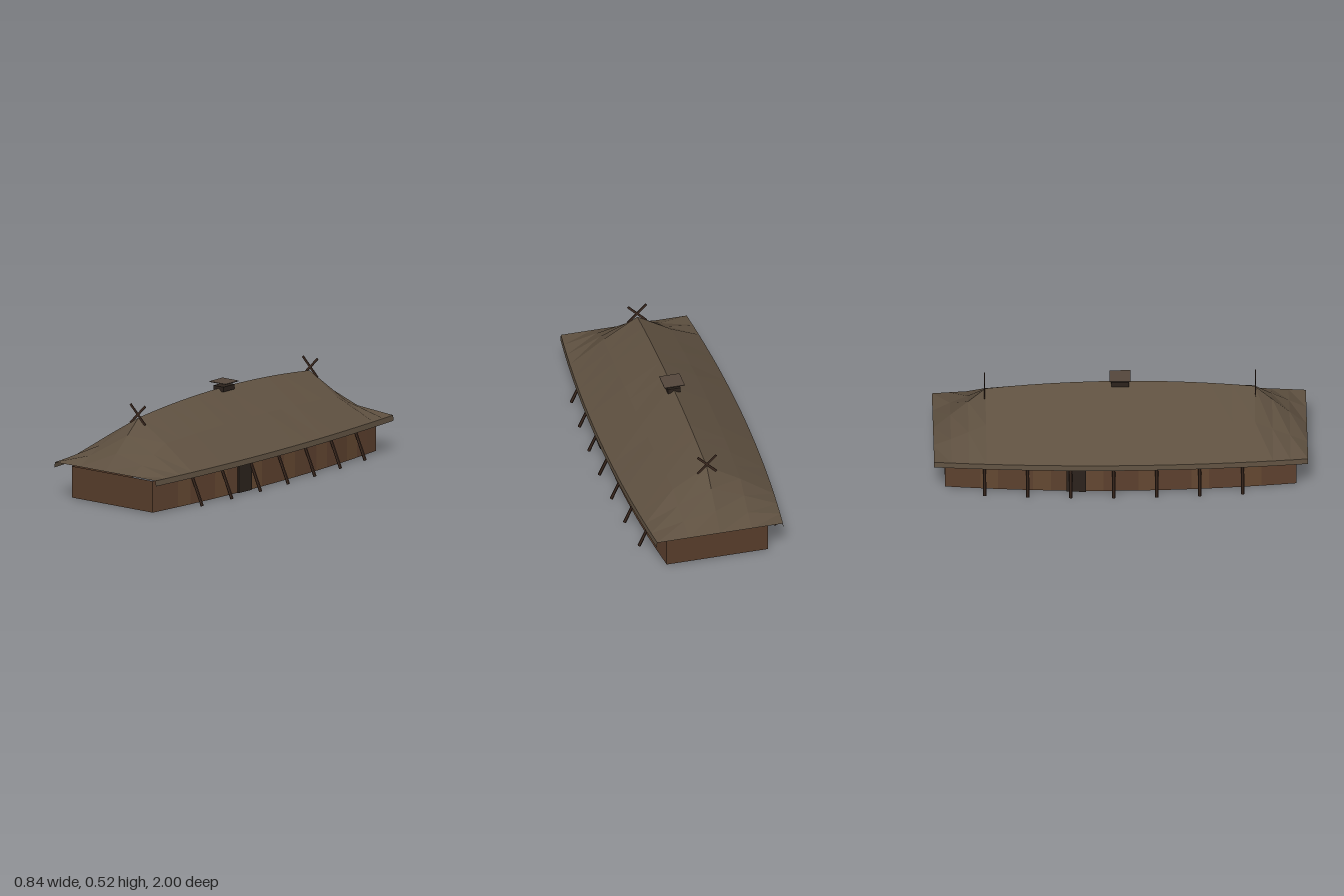
import * as THREE from 'three';

const mat = (color, side = THREE.DoubleSide) =>
  new THREE.MeshStandardMaterial({ color, side, flatShading: true });

// Small seeded noise in -1..1
let seed = 7;
const noise = () => {
  seed = (seed * 16807) % 2147483647;
  return (seed / 2147483647) * 2 - 1;
};

// Bowed plan outlines of the wall and the eaves
const wallX = z => 0.34 - 0.06 * (z / 0.94) ** 2;
const wallTop = z => 0.204 - 0.027 * (z / 0.94) ** 2;
const eaveX = z => 0.4 - 0.052 * z * z;
// Curved ridge that drops along a straight hip at both ends
const ridgeY = z => {
  const a = Math.abs(z);
  return a <= 0.72 ? 0.485 - 0.04 * (a / 0.72) ** 2 : 0.2 + 0.245 * (1 - a) / 0.28;
};

// Surface through rows of equally many [x, y, z] points
function loft(rows) {
  const n = rows[0].length, index = [];
  for (let i = 0; i < rows.length - 1; i++) {
    for (let j = 0; j < n - 1; j++) {
      const a = i * n + j, b = a + n;
      index.push(a, b, a + 1, b, b + 1, a + 1);
    }
  }
  const geo = new THREE.BufferGeometry();
  geo.setAttribute('position', new THREE.Float32BufferAttribute(rows.flat(2), 3));
  geo.setIndex(index);
  const flat = geo.toNonIndexed();
  flat.computeVertexNormals();
  return flat;
}

export function createModel() {
  const model = new THREE.Group();
  seed = 7;
  const add = (name, geo, material, parent = model) => {
    const mesh = new THREE.Mesh(geo, material);
    mesh.name = name;
    parent.add(mesh);
    return mesh;
  };
  const group = name => {
    const g = new THREE.Group();
    g.name = name;
    model.add(g);
    return g;
  };

  const thatch = mat(0x5e5040);
  const darkWood = mat(0x3d2a20);
  const doorWood = mat(0x2b221c);
  const planks = [mat(0x5c402e), mat(0x523826), mat(0x634731)];
  const endWood = mat(0x563c2a);

  // Thatched roof: eave, knee, ridge, knee, eave at each station
  const stations = [-1, -0.907, -0.813];
  for (let i = 0; i <= 12; i++) stations.push(-0.72 + i * 0.12);
  stations.push(0.813, 0.907, 1);
  const roofRows = stations.map(z => {
    const e = eaveX(z), r = ridgeY(z), k = 0.2 + (r - 0.2) * 0.53;
    const j = () => (Math.abs(z) < 1 ? 0.003 * noise() : 0);
    return [[-e, 0.2, z], [-e / 2, k + j(), z], [0, r, z], [e / 2, k + j(), z], [e, 0.2, z]];
  });
  add('roof', loft(roofRows), thatch);

  // Hanging thatch edge along both eaves
  for (const s of [-1, 1]) {
    const rows = stations.map(z => {
      const e = eaveX(z), top = [s * e, 0.2, z], low = [s * (e + 0.003), 0.17, z];
      return s > 0 ? [top, low] : [low, top];
    });
    add('eaveEdge', loft(rows), thatch);
  }

  // Side walls made of planks in alternating tones
  const walls = group('walls');
  const count = 20;
  for (const s of [-1, 1]) {
    for (let i = 0; i < count; i++) {
      const rows = [i, i + 1].map(k => {
        const z = -0.94 + 1.88 * k / count;
        const low = [s * wallX(z), 0.005, z], top = [s * wallX(z), wallTop(z), z];
        return s > 0 ? [top, low] : [low, top];
      });
      add('wallPlank', loft(rows), planks[(i * i + i * 2) % 3], walls);
    }
  }

  // End walls
  for (const z of [-0.94, 0.94]) {
    const wall = add('endWall', new THREE.PlaneGeometry(0.56, 0.172), endWood, walls);
    wall.position.set(0, 0.091, z);
    if (z < 0) wall.rotation.y = Math.PI;
  }

  // One door in each long side, set diagonally opposite
  for (const s of [-1, 1]) {
    const door = add('door', new THREE.BoxGeometry(0.02, 0.175, 0.105), doorWood);
    door.position.set(s * wallX(0.24), 0.0925, s * 0.24);
    door.rotation.y = -0.03;
  }

  // Leaning props along the long sides
  const props = group('props');
  for (const s of [-1, 1]) {
    for (let i = 0; i < 7; i++) {
      const z = -0.73 + i * 0.23, x = wallX(z);
      const foot = new THREE.Vector3(s * (x + 0.073), 0.004, z);
      const head = new THREE.Vector3(s * (x - 0.013), 0.195, z);
      const dir = head.clone().sub(foot);
      const prop = add('prop', new THREE.CylinderGeometry(0.008, 0.009, dir.length(), 6), darkWood, props);
      prop.position.copy(foot).add(head).multiplyScalar(0.5);
      prop.quaternion.setFromUnitVectors(new THREE.Vector3(0, 1, 0), dir.normalize());
    }
  }

  // Crossed boards at both ridge ends
  for (const z of [-0.725, 0.725]) {
    for (const s of [-1, 1]) {
      const board = add('crossedBoard', new THREE.BoxGeometry(0.012, 0.145, 0.005), darkWood);
      board.position.set(0, 0.463, z);
      board.rotation.z = s * Math.PI / 4;
    }
  }

  // Smoke vent with a raised cover
  const vent = add('smokeVent', new THREE.BoxGeometry(0.07, 0.027, 0.094), doorWood);
  vent.position.y = 0.4825;
  const cover = add('ventCover', new THREE.BoxGeometry(0.112, 0.004, 0.112), mat(0x54463c));
  cover.position.y = 0.515;

  return model;
}
